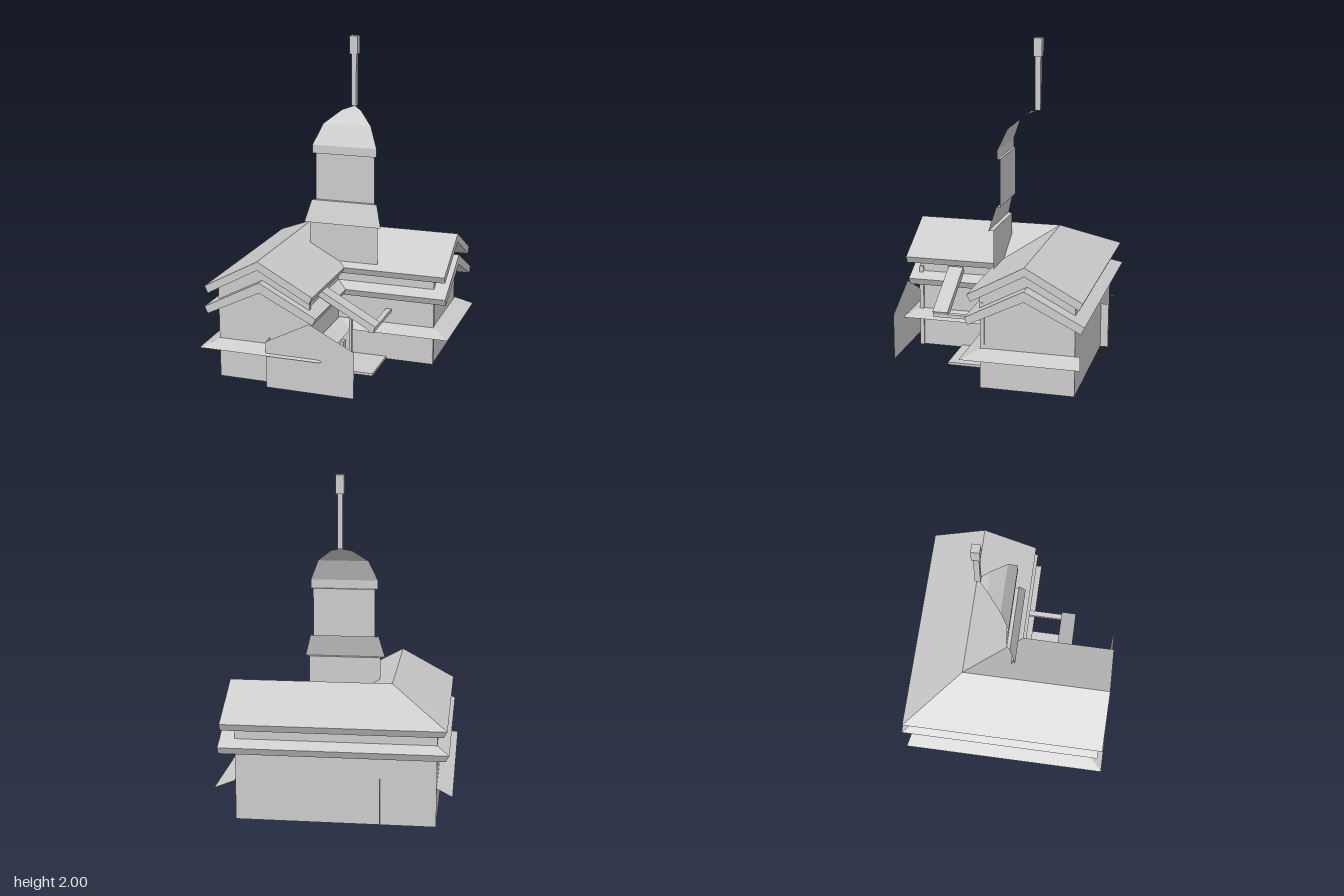
import * as THREE from 'three';

const mat = new THREE.MeshStandardMaterial({ color: 0xcccccc, flatShading: true, side: THREE.DoubleSide });
const downMat = new THREE.MeshStandardMaterial({ color: 0xcccccc, flatShading: true });

function add(group, name, geometry, material = mat) {
  const mesh = new THREE.Mesh(geometry, material);
  mesh.name = name;
  group.add(mesh);
  return mesh;
}

// Box given by its limits on each axis
function box(group, name, [x0, x1], [y0, y1], [z0, z1]) {
  const g = new THREE.BoxGeometry(x1 - x0, y1 - y0, z1 - z0);
  g.translate((x0 + x1) / 2, (y0 + y1) / 2, (z0 + z1) / 2);
  return add(group, name, g);
}

// Skin between successive rows of points
function loft(rows, closed, caps = []) {
  const n = rows[0].length;
  const index = [];
  for (let i = 0; i < rows.length - 1; i++) {
    for (let j = 0; j < (closed ? n : n - 1); j++) {
      const k = (j + 1) % n;
      const a = i * n + j, b = i * n + k, c = a + n, d = b + n;
      index.push(a, b, d, a, d, c);
    }
  }
  // end faces, as triangles of row indices
  const last = (rows.length - 1) * n;
  for (const [a, b, c] of caps) index.push(a, c, b, last + a, last + b, last + c);
  const g = new THREE.BufferGeometry();
  g.setAttribute('position', new THREE.Float32BufferAttribute(rows.flat(2), 3));
  g.setIndex(index);
  const flat = g.toNonIndexed();
  flat.computeVertexNormals();
  return flat;
}

// Sweeps a section (offset from ridge, height) along both wings, mitred at the corner
function wings(section, frontEnd, sideEnd, closed, caps) {
  const cx = -0.303, cz = -0.28;
  return loft([
    section.map(([d, y]) => [cx - d, y, frontEnd]),
    section.map(([d, y]) => [cx - d, y, cz - d]),
    section.map(([d, y]) => [sideEnd, y, cz - d]),
  ], closed, caps);
}

function roof(ridge, eave, half, thick, frontEnd, sideEnd) {
  const section = [
    [half, eave], [0, ridge], [-half, eave],
    [-half + 0.02, eave - 0.04], [0, ridge - thick], [half - 0.02, eave - 0.04],
  ];
  return wings(section, frontEnd, sideEnd, true, [[0, 1, 4], [0, 4, 5], [1, 2, 3], [1, 3, 4]]);
}

export function createModel() {
  const model = new THREE.Group();
  model.name = 'towerHouse';

  // Walls of the two wings, open underneath
  const wall = [[0.268, 0.1], [0.268, 0.635], [0, 0.785], [-0.268, 0.635], [-0.268, 0.1]];
  add(model, 'wingWalls', wings(wall, 0.53, 0.55, false, [[0, 1, 2], [0, 2, 4], [4, 2, 3]]));

  // Two stacked gable roofs
  add(model, 'upperRoof', roof(0.84, 0.665, 0.322, 0.05, 0.6, 0.625));
  add(model, 'lowerRoof', roof(0.71, 0.535, 0.335, 0.06, 0.58, 0.635));

  // Sloping awning round the sides and front
  const inner = [[-0.57, -0.575], [-0.57, 0.53], [-0.03, 0.53], [-0.03, -0.02], [0.55, -0.02], [0.55, -0.575]];
  const outer = [[-0.66, -0.6], [-0.66, 0.62], [0.07, 0.62], [0.07, 0.08], [0.66, 0.08], [0.66, -0.6]];
  add(model, 'awning', loft([
    inner.map(([x, z]) => [x, 0.335, z]),
    outer.map(([x, z]) => [x, 0.297, z]),
  ], false));

  // Corner trims
  for (const [x, z] of [[-0.035, 0.518], [0.54, -0.025]]) {
    box(model, 'cornerTrim', [x - 0.0125, x + 0.0125], [0.1, 0.6], [z - 0.0125, z + 0.0125]);
  }

  // Gabled front panel and the long wall behind it
  const gable = new THREE.Shape([[-0.26, 0.1], [0.26, 0.1], [0.26, 0.375], [0, 0.51], [-0.26, 0.375]]
    .map(([x, y]) => new THREE.Vector2(x, y)));
  add(model, 'frontPanel', new THREE.ShapeGeometry(gable)).position.z = 0.6;
  const longWall = new THREE.PlaneGeometry(1.195, 0.275).rotateY(Math.PI / 2);
  add(model, 'longWall', longWall).position.set(-0.26, 0.2375, 0.0025);

  // Porch: floor, ceiling seen from beneath, post, sloping beam and eave
  box(model, 'porchFloor', [-0.03, 0.265], [0.1, 0.115], [-0.03, 0.265]);
  const ceiling = new THREE.PlaneGeometry(0.52, 0.52).rotateX(Math.PI / 2);
  add(model, 'porchCeiling', ceiling, downMat).position.y = 0.3;
  box(model, 'porchPost', [0.07, 0.085], [0.115, 0.43], [0.08, 0.105]);
  const slope = new THREE.Shape([[-0.04, 0.585], [0.285, 0.4], [0.305, 0.435], [-0.02, 0.615]]
    .map(([x, y]) => new THREE.Vector2(x, y)));
  const beam = new THREE.ExtrudeGeometry(slope, { depth: 0.09, bevelEnabled: false });
  add(model, 'porchRoofBeam', beam).position.z = 0.253;
  box(model, 'porchEave', [0.262, 0.295], [0.4, 0.42], [-0.02, 0.343]);

  // Crossed sheets and a small post under the floor
  add(model, 'baseSheet', new THREE.PlaneGeometry(0.155, 0.1)).position.set(0.0075, 0.05, 0);
  const cross = new THREE.PlaneGeometry(0.175, 0.1).rotateY(Math.PI / 2);
  add(model, 'baseSheet', cross).position.set(0, 0.05, 0.0025);
  box(model, 'basePost', [-0.01, 0.01], [0.01, 0.19], [-0.02, 0.03]);

  // Tower front: one facet of a square turning with a curved cap
  const profile = [
    [0.21, 0.69], [0.21, 0.92], [0.235, 0.92], [0.2, 1.05], [0.18, 1.05], [0.18, 1.33],
    [0.195, 1.33], [0.195, 1.38], [0.145, 1.5], [0.06, 1.57], [0, 1.59],
  ].map(([r, y]) => new THREE.Vector2(r * Math.SQRT2, y));
  const tower = new THREE.LatheGeometry(profile, 1, -Math.PI / 4, Math.PI / 2);
  add(model, 'towerFront', tower).position.z = -0.21;

  // Spire
  box(model, 'spirePole', [-0.015, 0.015], [1.59, 1.9], [-0.223, -0.191]);
  box(model, 'spireTip', [-0.024, 0.024], [1.895, 2], [-0.231, -0.183]);

  return model;
}
